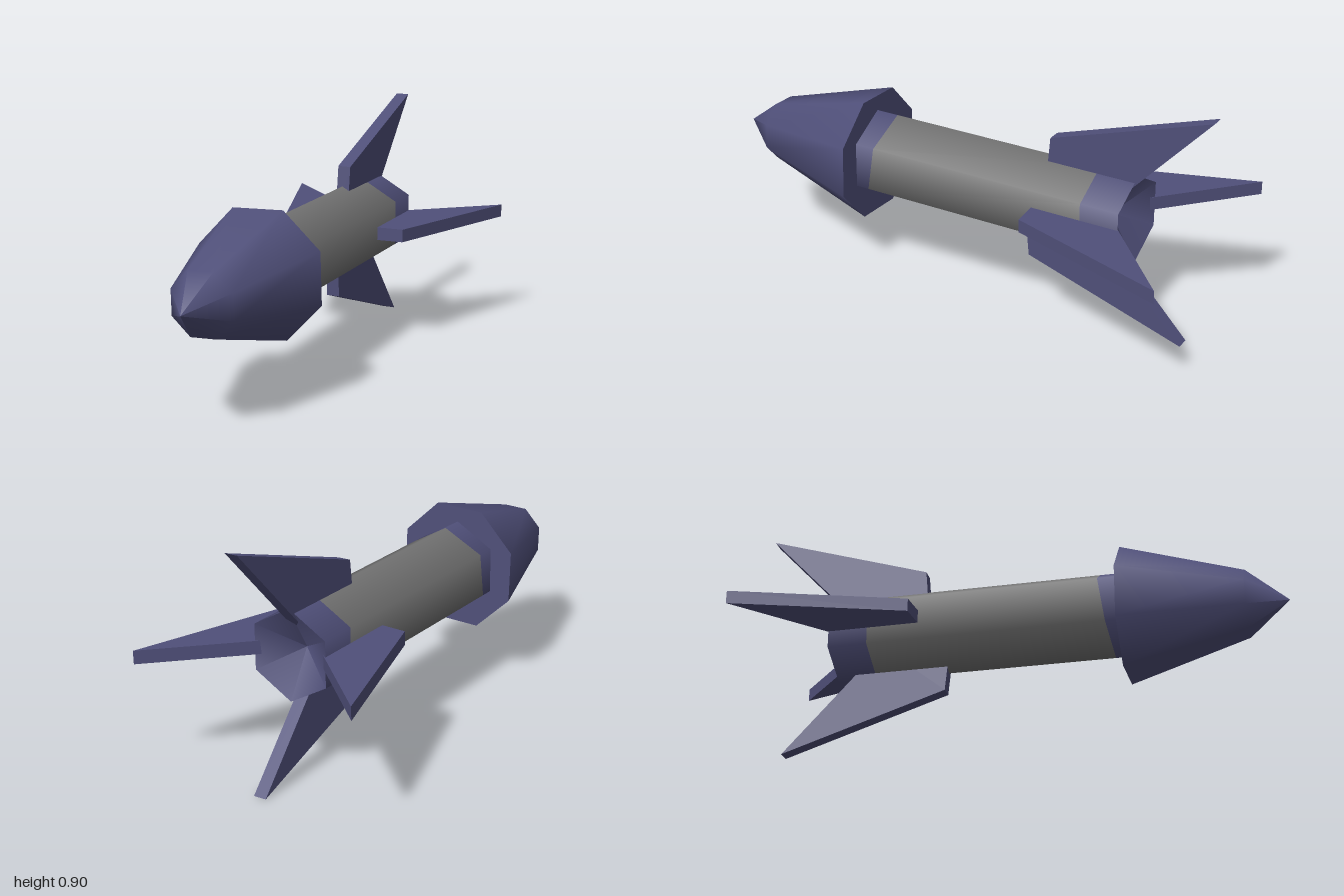
import * as THREE from 'three';

export function createModel() {
  const root = new THREE.Group();
  root.name = 'rocket';
  const blue = new THREE.MeshStandardMaterial({ color: 0x50507a });
  blue.name = 'dusk blue';
  const grey = new THREE.MeshStandardMaterial({ color: 0x727272 });
  grey.name = 'hull grey';

  // everything is arranged around the long axis, which runs along z
  const axis = new THREE.Group();
  axis.name = 'axis';
  axis.position.set(-0.003, 0.452, 0);
  root.add(axis);

  function add(name, geometry, material) {
    const mesh = new THREE.Mesh(geometry, material);
    mesh.name = name;
    axis.add(mesh);
    return mesh;
  }

  // turned part: profile of [radius, z], listed from back to front
  function turned(profile, sides, start = 0) {
    const points = profile.map(([r, z]) => new THREE.Vector2(r, z));
    return new THREE.LatheGeometry(points, sides, start).rotateX(Math.PI / 2);
  }

  // eight-sided nose cone and its flat rear face
  const noseTurn = Math.PI / 8 + 0.03;
  const R = 0.255, BASE = 0.39;
  add('noseCone', turned([[R, BASE], [0.124, 0.84], [0, 0.993]], 8, noseTurn), blue).position.y = -0.005;
  add('noseBase', turned([[0, BASE], [R, BASE]], 8, noseTurn), blue).position.y = -0.005;

  // six-sided hull in three bands; the front colour break leans forward underneath
  const H = 0.172, BREAK = 0.325, REAR = -0.56, TAIL = -0.71;
  function band(back, front) {
    const geometry = turned([[H, back], [H, front]], 6);
    const p = geometry.attributes.position;
    for (let i = 0; i < p.count; i++) {
      if (Math.abs(p.getZ(i) - BREAK) < 1e-4) p.setZ(i, BREAK - 0.15 * p.getY(i));
    }
    return geometry;
  }
  add('frontCollar', band(BREAK, BASE), blue);
  add('hull', band(REAR, BREAK), grey);
  add('rearCollar', band(TAIL, REAR), blue);

  // shallow recess at the tail
  add('tailRecess', turned([[0, -0.61], [H, TAIL]], 6), blue);

  // four swept fins; the lower one sits further forward
  const T = 0.05;
  const outline = [[0.05, -0.355], [0.25, -0.373], [0.452, -0.997], [0.05, -0.622]];
  const shape = new THREE.Shape(outline.map(([r, z]) => new THREE.Vector2(r, z)));
  const finGeometry = new THREE.ExtrudeGeometry(shape, { depth: T, bevelEnabled: false })
    .translate(0, 0, -T / 2)
    .rotateX(Math.PI / 2);
  ['leftFin', 'topFin', 'rightFin', 'bottomFin'].forEach((name, i) => {
    const fin = add(name, finGeometry, blue);
    fin.rotation.z = (i * Math.PI) / 2 - 0.02;
    if (name === 'bottomFin') fin.position.z = 0.085;
  });

  return root;
}
